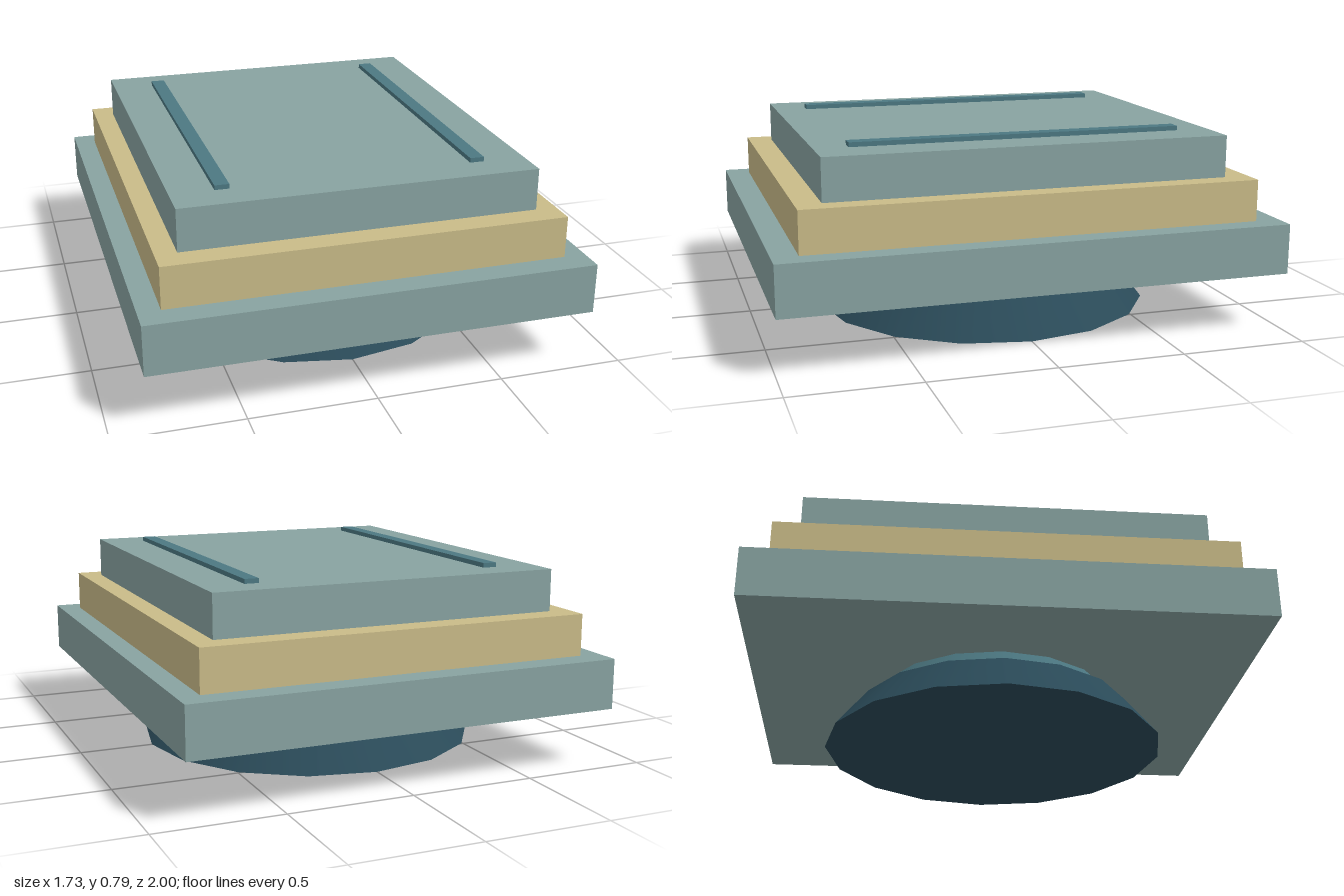
import * as THREE from 'three';

const paint = (color) => new THREE.MeshStandardMaterial({ color });

export function createModel() {
  const group = new THREE.Group();
  const teal = paint(0x88a3a1), sand = paint(0xc9bb88);
  const darkBlue = paint(0x2a4a58), midBlue = paint(0x4c7882);

  const add = (name, geometry, material, x, y) => {
    const mesh = new THREE.Mesh(geometry, material);
    mesh.name = name;
    mesh.position.set(x, y, 0);
    group.add(mesh);
  };
  // Each part is given by its bottom and top heights
  const slab = (name, width, depth, y0, y1, material, x = 0) =>
    add(name, new THREE.BoxGeometry(width, y1 - y0, depth), material, x, (y0 + y1) / 2);
  const cone = (name, rTop, rBottom, y0, y1, material) =>
    add(name, new THREE.CylinderGeometry(rTop, rBottom, y1 - y0, 16), material, 0, (y0 + y1) / 2);

  // Round flared base
  cone('foot', 0.567, 0.7, 0, 0.167, darkBlue);
  cone('neck', 0.483, 0.517, 0.167, 0.235, midBlue);

  // Stepped slabs
  slab('lowerSlab', 1.733, 2, 0.235, 0.434, teal);
  slab('middleSlab', 1.56, 1.8, 0.434, 0.6, sand);
  slab('upperSlab', 1.393, 1.6, 0.6, 0.767, teal);

  // Thin rails along the top
  for (const [name, side] of [['leftRail', 1], ['rightRail', -1]]) {
    slab(name, 0.056, 1.333, 0.76, 0.785, midBlue, side * 0.5);
  }
  return group;
}
